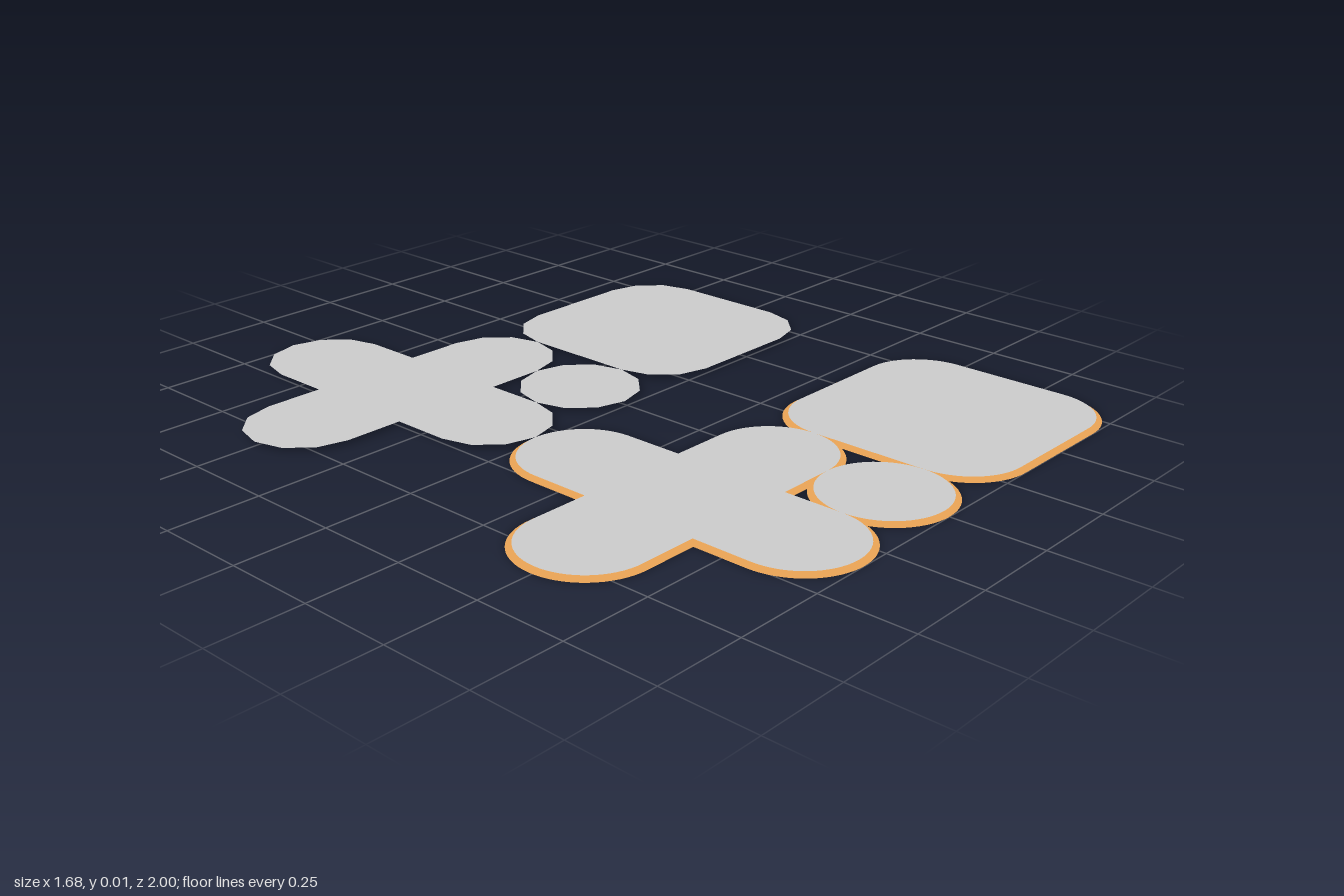
import * as THREE from 'three';

const U = 0.1654;       // grid unit and corner radius
const BORDER = 0.015;   // how far the coloured backing sticks out
const LIFT = 0.01;      // height of the grey faces over the backing

const grey = new THREE.MeshStandardMaterial({ color: 0xcccccc, side: THREE.DoubleSide });
const orange = new THREE.MeshStandardMaterial({ color: 0xeaa455, side: THREE.DoubleSide });

// Quarter turn around (cx, cy) starting at the given quadrant
function corner(cx, cy, r, quadrant, segments) {
  const points = [];
  for (let i = 0; i <= segments; i++) {
    const a = (quadrant + i / segments) * Math.PI / 2;
    points.push(new THREE.Vector2(cx + r * Math.cos(a), cy + r * Math.sin(a)));
  }
  return points;
}

// Square with rounded corners; inset 0 gives a circle
function roundedSquare(inset, r, segments) {
  const signs = [[1, 1], [-1, 1], [-1, -1], [1, -1]];
  return signs.flatMap(([sx, sy], q) => corner(sx * inset, sy * inset, r, q, segments));
}

// Cross with four round-ended arms
function cross(reach, r, segments) {
  const points = [];
  for (let q = 0; q < 4; q++) {
    const arm = [
      new THREE.Vector2(r, -r),
      ...corner(reach, 0, r, 3, segments),
      ...corner(reach, 0, r, 0, segments).slice(1),
    ];
    arm.forEach((p) => points.push(p.rotateAround(new THREE.Vector2(), q * Math.PI / 2)));
  }
  return points;
}

// Flat horizontal plate from an outline
function plate(name, outline, material, x, y, z) {
  const geometry = new THREE.ShapeGeometry(new THREE.Shape(outline));
  geometry.rotateX(-Math.PI / 2);
  const mesh = new THREE.Mesh(geometry, material);
  mesh.name = name;
  mesh.position.set(x, y, z);
  return mesh;
}

// Cross, disc and rounded square laid out side by side
function plateSet(name, z, y, r, segments, material) {
  const set = new THREE.Group();
  set.name = name;
  set.add(
    plate('cross', cross(2 * U, r, segments), material, -2 * U, y, z),
    plate('disc', roundedSquare(0, r, segments), material, 0, y, z + 2 * U),
    plate('roundedSquare', roundedSquare(U, r, segments), material, 3 * U, y, z + U),
  );
  return set;
}

export function createModel() {
  const model = new THREE.Group();
  model.name = 'flatShapes';
  const backZ = -1 + 3 * U;
  const frontZ = backZ + 6 * U;
  model.add(
    plateSet('coarseFaces', backZ, LIFT, U, 3, grey),
    plateSet('smoothFaces', frontZ, LIFT, U, 16, grey),
    plateSet('smoothBacking', frontZ, 0, U + BORDER, 16, orange),
  );
  return model;
}
